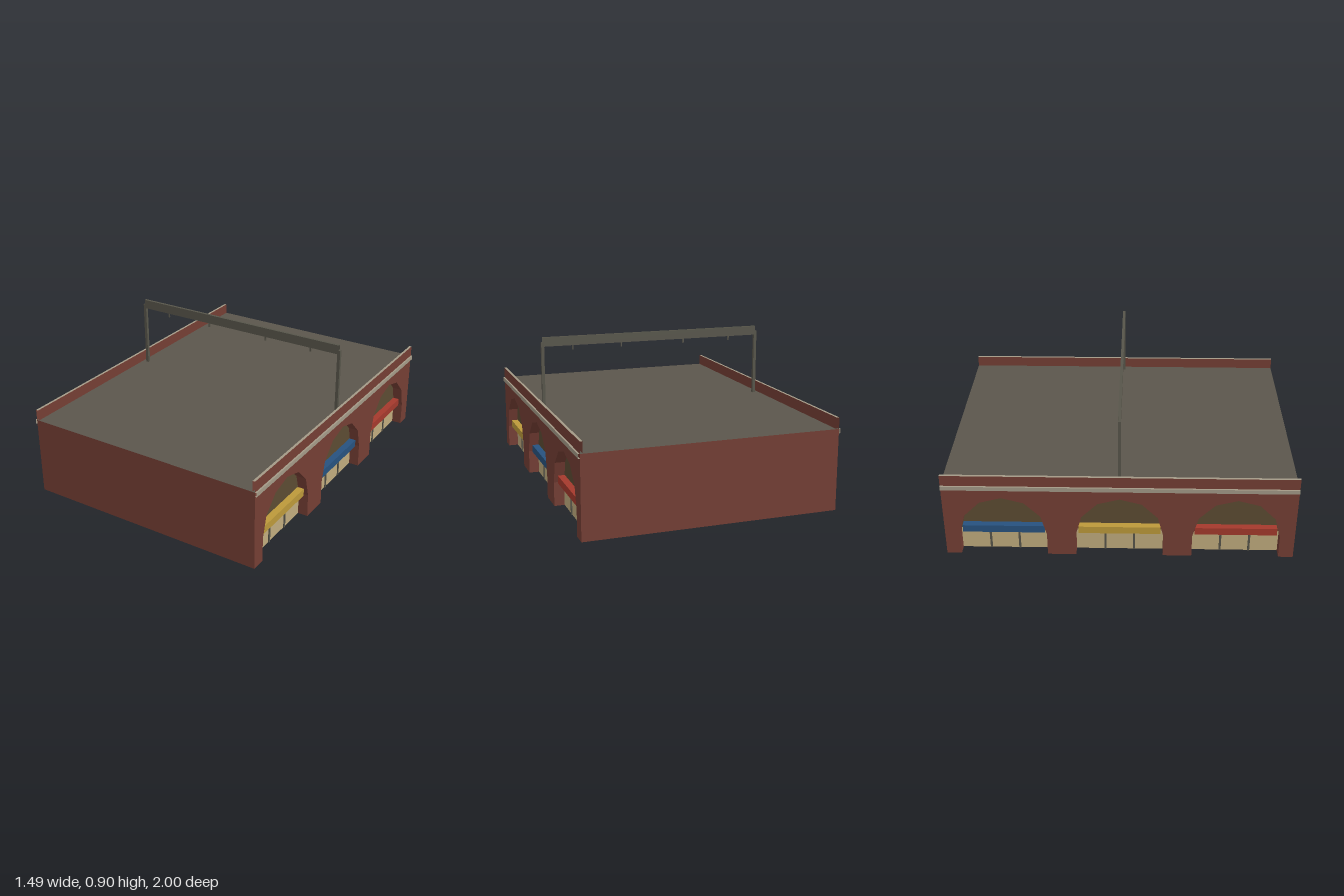
import * as THREE from 'three';

const mat = (name, color) => new THREE.MeshStandardMaterial({ name, color, side: THREE.DoubleSide });

export function createModel() {
  const brick = mat('brick', 0x743e34);
  const stone = mat('stone', 0xa39a87);
  const roofing = mat('roofing', 0x5b564c);
  const steel = mat('steel', 0x57554a);
  const infill = mat('archInfill', 0x5c4b32);
  const shutter = mat('shutter', 0xc0ab7d);
  const yellow = mat('yellowAwning', 0xbc993a);
  const blue = mat('blueAwning', 0x27527f);
  const red = mat('redAwning', 0xa4392c);

  const W = 0.735, H = 0.47, TOP = 0.535, DEPTH = 0.06;
  const R = 0.25, SPRING = 0.14, ARCHES = [-0.665, 0, 0.665];

  const add = (parent, name, geometry, material, x = 0, y = 0, z = 0) => {
    const mesh = new THREE.Mesh(geometry, material);
    mesh.name = name;
    mesh.position.set(x, y, z);
    parent.add(mesh);
    return mesh;
  };

  // Box with some faces left out (0 +x, 1 -x, 2 +y, 3 -y, 4 +z, 5 -z)
  const openBox = (w, h, d, skip = []) => {
    const g = new THREE.BoxGeometry(w, h, d);
    g.setIndex(Array.from(g.index.array).filter((_, i) => !skip.includes(Math.floor(i / 6))));
    g.clearGroups();
    return g;
  };

  // Arch outline from left foot to right foot, six-sided curve
  const archPoints = (cx) => {
    const pts = [new THREE.Vector2(cx - R, 0)];
    for (let i = 0; i <= 6; i++) {
      const a = Math.PI * (1 - i / 6);
      pts.push(new THREE.Vector2(cx + R * Math.cos(a), SPRING + R * Math.sin(a)));
    }
    pts.push(new THREE.Vector2(cx + R, 0));
    return pts;
  };

  // Strip running inward from the arch edge
  const revealGeometry = (pts) => {
    const g = new THREE.PlaneGeometry(1, 1, pts.length - 1, 1);
    const p = g.attributes.position;
    for (let i = 0; i < p.count; i++) {
      const q = pts[i % pts.length];
      p.setXYZ(i, q.x, q.y, i < pts.length ? -DEPTH : 0);
    }
    const flat = g.toNonIndexed();
    flat.computeVertexNormals();
    return flat;
  };

  // One long arcade side, facing local +z
  const makeArcade = (name, awningColours) => {
    const side = new THREE.Group();
    side.name = name;

    const outline = [new THREE.Vector2(-1, 0)];
    ARCHES.forEach((cx) => outline.push(...archPoints(cx)));
    outline.push(new THREE.Vector2(1, 0), new THREE.Vector2(1, H), new THREE.Vector2(-1, H));
    add(side, 'arcadeWall', new THREE.ShapeGeometry(new THREE.Shape(outline)), brick, 0, 0, W);

    ARCHES.forEach((cx, i) => {
      const bay = new THREE.Group();
      bay.name = 'archBay';
      bay.position.set(cx, 0, W);
      side.add(bay);
      const pts = archPoints(0);
      add(bay, 'archReveal', revealGeometry(pts), brick);
      add(bay, 'archInfill', new THREE.ShapeGeometry(new THREE.Shape(pts.slice(1, -1))), infill, 0, 0, -DEPTH);
      add(bay, 'shutters', new THREE.PlaneGeometry(2 * R, SPRING), shutter, 0, SPRING / 2, -DEPTH);
      for (const s of [-1, 1]) {
        add(bay, 'shutterPost', openBox(0.012, SPRING, 0.006, [5]), steel, s * R / 3, SPRING / 2, -DEPTH + 0.003);
      }
      add(bay, 'awning', new THREE.BoxGeometry(0.47, 0.045, 0.04), awningColours[i], 0, 0.1605, -DEPTH + 0.02);
    });

    // Parapet, coping and string course, open at the ends
    add(side, 'parapet', openBox(2, TOP - H, 0.015, [0, 1, 2, 3]), brick, 0, (TOP + H) / 2, W - 0.0075);
    const coping = add(side, 'coping', new THREE.PlaneGeometry(2, 0.015), stone, 0, TOP, W - 0.0075);
    coping.rotation.x = -Math.PI / 2;
    add(side, 'stringCourse', openBox(2, 0.025, 0.01, [0, 1, 5]), stone, 0, 0.4575, W + 0.005);
    return side;
  };

  const model = new THREE.Group();
  model.name = 'viaduct';

  const plusSide = makeArcade('arcadePlusX', [yellow, blue, red]);
  plusSide.rotation.y = Math.PI / 2;
  const minusSide = makeArcade('arcadeMinusX', [blue, yellow, red]);
  minusSide.rotation.y = -Math.PI / 2;
  model.add(plusSide, minusSide);

  // End walls and deck
  for (const s of [1, -1]) {
    const wall = add(model, s > 0 ? 'frontWall' : 'backWall', new THREE.PlaneGeometry(2 * W, H), brick, 0, H / 2, s);
    if (s < 0) wall.rotation.y = Math.PI;
  }
  const deck = add(model, 'deck', new THREE.PlaneGeometry(2 * W, 2), roofing, 0, H, 0);
  deck.rotation.x = -Math.PI / 2;

  // Overhead gantry
  const gantry = new THREE.Group();
  gantry.name = 'gantry';
  model.add(gantry);
  for (const s of [-1, 1]) {
    add(gantry, 'gantryPost', openBox(0.018, 0.4, 0.018, [3]), steel, s * 0.687, 0.67, 0);
  }
  add(gantry, 'gantryBeam', openBox(1.372, 0.055, 0.016, [0, 1]), steel, 0, 0.8725, 0);
  for (const x of [-0.503, -0.2, 0.2, 0.503]) {
    add(gantry, 'wireHanger', new THREE.BoxGeometry(0.008, 0.027, 0.008), steel, x, 0.8325, 0);
  }
  return model;
}
